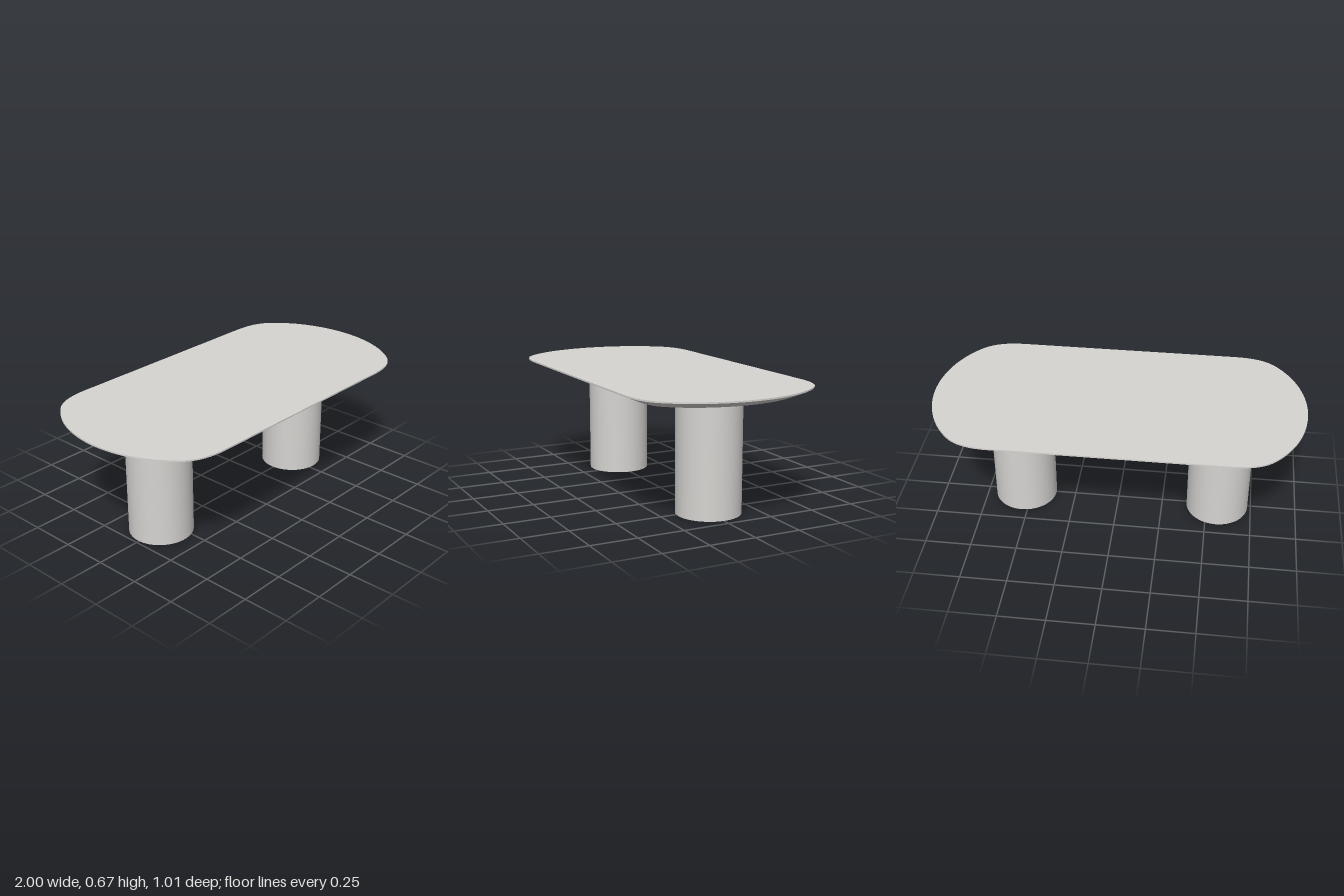
import * as THREE from 'three';

const V = (x, y) => new THREE.Vector2(x, y);

// Rounded outline, counter-clockwise, starting at the middle of a long side
function tableOutline() {
  const end = new THREE.CubicBezierCurve(V(1, 0), V(1, 0.15), V(0.95, 0.31), V(0.84, 0.425)).getPoints(16);
  const corner = new THREE.CubicBezierCurve(V(0.84, 0.425), V(0.785, 0.483), V(0.71, 0.505), V(0.6, 0.505)).getPoints(16);
  const quarter = [...end, ...corner.slice(1)];
  const half = [...quarter.slice(1).reverse().map(p => V(p.x, -p.y)), ...quarter];
  return [V(0, -0.505), ...half, V(0, 0.505), ...half.map(p => V(-p.x, -p.y))];
}

// Moves every point inwards along the outline's normal
function inset(points, d) {
  const n = points.length;
  return points.map((p, i) => {
    const before = p.clone().sub(points[(i + n - 1) % n]).normalize();
    const after = points[(i + 1) % n].clone().sub(p).normalize();
    const t = before.add(after).normalize();
    return V(p.x - t.y * d, p.y + t.x * d);
  });
}

// Smooth closed wall between two outlines
function wall(lower, y0, upper, y1) {
  const n = lower.length, pos = [], index = [];
  for (let i = 0; i < n; i++) {
    pos.push(lower[i].x, y0, -lower[i].y, upper[i].x, y1, -upper[i].y);
    const a = 2 * i, b = 2 * ((i + 1) % n);
    index.push(a, b, b + 1, a, b + 1, a + 1);
  }
  const g = new THREE.BufferGeometry();
  g.setAttribute('position', new THREE.Float32BufferAttribute(pos, 3));
  g.setIndex(index);
  g.computeVertexNormals();
  return g;
}

function cap(points, y, up) {
  const g = new THREE.ShapeGeometry(new THREE.Shape(points));
  return g.rotateX(up ? -Math.PI / 2 : Math.PI / 2).translate(0, y, 0);
}

export function createModel() {
  const model = new THREE.Group();
  model.name = 'table';
  const stone = new THREE.MeshStandardMaterial({ color: 0xd6d4d1 });
  stone.name = 'paleStone';
  const add = (parent, name, geometry) => {
    const mesh = new THREE.Mesh(geometry, stone);
    mesh.name = name;
    parent.add(mesh);
    return mesh;
  };

  // Table top: flat surface, thin upright rim, undercut bevel
  const top = new THREE.Group();
  top.name = 'tableTop';
  model.add(top);
  const outer = tableOutline();
  const inner = inset(outer, 0.08);
  add(top, 'topSurface', cap(outer, 0.668, true));
  add(top, 'rim', wall(outer, 0.66, outer, 0.668));
  add(top, 'bevel', wall(inner, 0.627, outer, 0.66));
  add(top, 'underside', cap(inner, 0.627, false));

  // Two drum legs
  for (const [name, x] of [['leftLeg', 0.533], ['rightLeg', -0.561]]) {
    add(model, name, new THREE.CylinderGeometry(0.172, 0.172, 0.627, 64)).position.set(x, 0.3135, -0.007);
  }
  return model;
}
